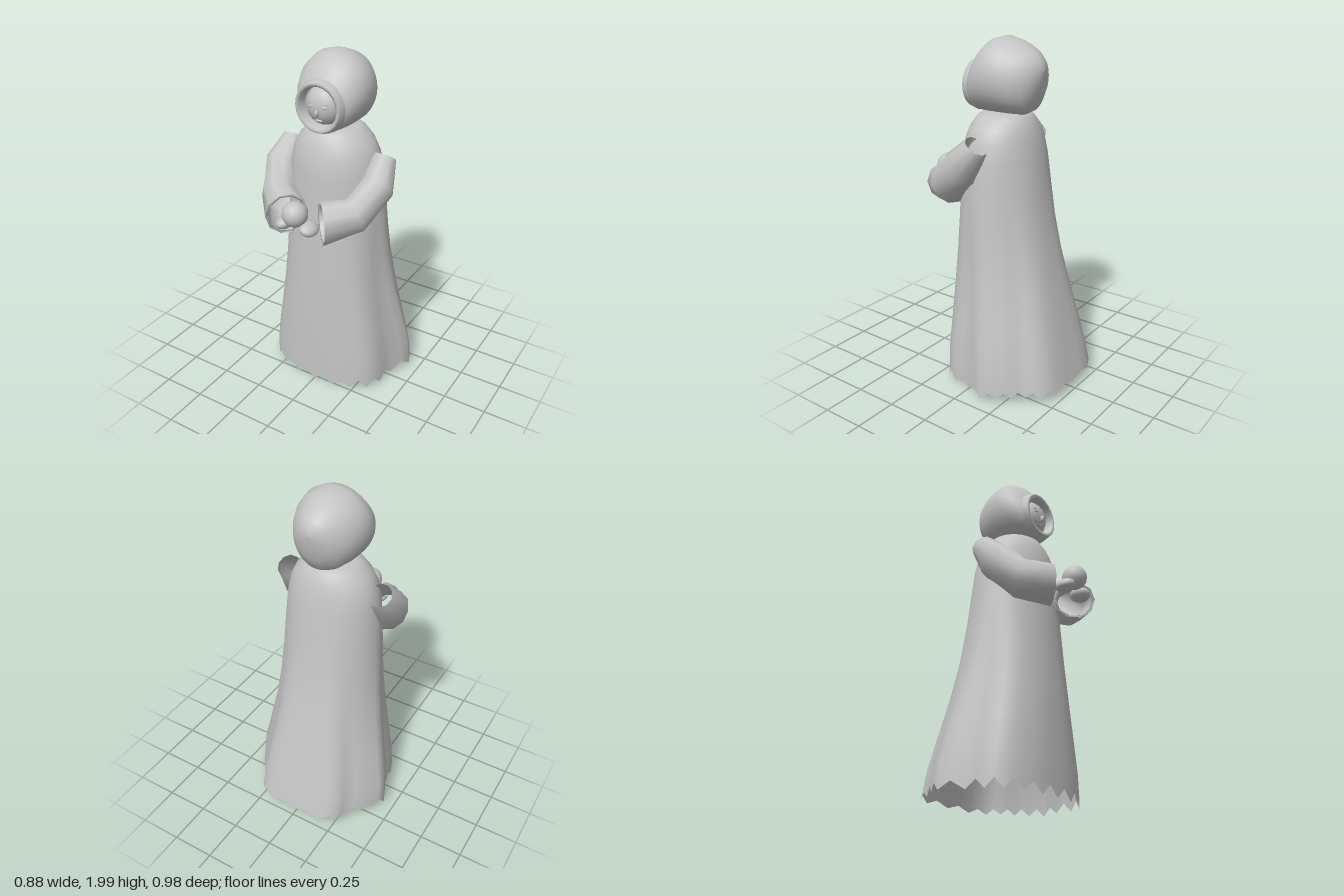
import * as THREE from 'three';

const stone = new THREE.MeshStandardMaterial({ color: 0xc4c4c4, side: THREE.DoubleSide });
stone.name = 'stone grey';

// Skin a surface over closed rings of points
function loft(rings) {
  const n = rings[0].length, pos = [], idx = [];
  rings.forEach(r => r.forEach(p => pos.push(p.x, p.y, p.z)));
  for (let i = 0; i < rings.length - 1; i++) {
    for (let j = 0; j < n; j++) {
      const k = (j + 1) % n, a = i * n + j, b = i * n + k;
      idx.push(a, b, b + n, a, b + n, a + n);
    }
  }
  const g = new THREE.BufferGeometry();
  g.setAttribute('position', new THREE.Float32BufferAttribute(pos, 3));
  g.setIndex(idx);
  g.computeVertexNormals();
  return g;
}

// Ring of n points around centre c, spanned by vectors s and w
function ring(c, s, w, n) {
  return Array.from({ length: n }, (_, j) => {
    const a = j / n * Math.PI * 2;
    return c.clone().addScaledVector(s, Math.cos(a)).addScaledVector(w, Math.sin(a));
  });
}

const V = (x, y, z) => new THREE.Vector3(x, y, z);

function robeGeometry() {
  // Half outline of the hem from front to back, mirrored into a closed curve
  const half = [[0, .27], [.12, .265], [.23, .235], [.32, .185], [.365, .1], [.38, -.01], [.44, -.14],
    [.40, -.22], [.355, -.29], [.30, -.35], [.265, -.43], [.17, -.48], [0, -.485]];
  const unit = half.map(([x, z]) => V(x / .44, 0, z > 0 ? z / .27 : z / .49));
  const mirror = unit.slice(1, -1).reverse().map(p => V(-p.x, 0, p.z));
  const hem = new THREE.CatmullRomCurve3([...unit, ...mirror], true);
  // Rows: height, half width, front depth, back depth, fold strength
  const rows = [[.05, .44, .27, .49, 1], [.2, .43, .27, .46, 1], [.4, .39, .265, .41, .85], [.6, .35, .26, .36, .65],
    [.8, .32, .25, .31, .45], [1, .30, .24, .27, .25], [1.2, .285, .23, .24, .1], [1.35, .27, .225, .22, 0],
    [1.45, .25, .21, .2, 0], [1.52, .215, .185, .18, 0], [1.57, .165, .155, .155, 0], [1.595, .12, .12, .13, 0],
    [1.6, .002, .002, .002, 0]];
  const N = 48;
  return loft(rows.map(([y, hx, zf, zb, fold], i) => Array.from({ length: N }, (_, j) => {
    const a = j / N * Math.PI * 2, h = hem.getPoint(j / N);
    const x = THREE.MathUtils.lerp(Math.sin(a), h.x, fold);
    const z = THREE.MathUtils.lerp(Math.cos(a), h.z, fold);
    // Ragged points along the hem, deeper at the front
    const front = (Math.cos(a) + 1) / 2;
    const tooth = i ? 0 : (j % 2 ? 1 : -1) * (.014 + .015 * front) + .022 * (1 - front) - .008 * front;
    return V(x * hx, y + tooth, z > 0 ? z * zf : z * zb);
  })));
}

function hoodGeometry() {
  // Sections from back to front: z, half width, bottom, top
  const sections = [[-.246, .002, 1.825, 1.829], [-.238, .05, 1.755, 1.875], [-.215, .095, 1.675, 1.905],
    [-.18, .135, 1.61, 1.938], [-.13, .17, 1.585, 1.963], [-.07, .196, 1.582, 1.986], [0, .207, 1.582, 2],
    [.06, .2, 1.582, 1.983], [.11, .18, 1.583, 1.94], [.145, .158, 1.585, 1.895], [.16, .143, 1.588, 1.873]];
  return loft(sections.map(([z, rx, y0, y1]) =>
    ring(V(0, (y0 + y1) / 2, z), V(rx, 0, 0), V(0, (y1 - y0) / 2, 0), 32)));
}

function sleeveGeometry() {
  // Rings from shoulder to cuff: centre, side direction, upward direction, radius
  const stations = [
    [[.285, 1.45, -.015], [1, 0, 0], [0, .6, .8], .068],
    [[.297, 1.315, .085], [.97, .1, .2], [-.05, .75, .65], .105],
    [[.235, 1.185, .215], [.83, 0, .55], [-.1, .93, .35], .107],
    [[.11, 1.155, .34], [.66, 0, .75], [0, 1, 0], .12],
    [[.115, 1.155, .335], [.66, 0, .75], [0, 1, 0], .102],
    [[.20, 1.175, .25], [.76, 0, .65], [-.05, .97, .2], .085]];
  return loft(stations.map(([c, s, w, r]) =>
    ring(V(...c), V(...s).multiplyScalar(r), V(...w).multiplyScalar(r), 10)));
}

export function createModel() {
  const model = new THREE.Group();
  model.name = 'robedFigure';
  const add = (name, geometry, x = 0, y = 0, z = 0) => {
    const m = new THREE.Mesh(geometry, stone);
    m.name = name;
    m.position.set(x, y, z);
    model.add(m);
    return m;
  };
  const blob = (name, p, s, tilt = 0) => {
    const m = add(name, new THREE.SphereGeometry(1, 16, 12), ...p);
    m.scale.set(...s);
    m.rotation.z = tilt;
    return m;
  };

  // Robe and hood
  add('robe', robeGeometry());
  add('hood', hoodGeometry());

  // Raised rim around the face opening
  const profile = [[.143, .13], [.147, .16], [.136, .197], [.128, .202], [.114, .196], [.106, .15]];
  const rim = new THREE.LatheGeometry(profile.map(([r, z]) => new THREE.Vector2(r, z)), 20);
  add('hoodRim', rim, 0, 1.73, 0).rotation.x = Math.PI / 2;

  // Face
  blob('face', [0, 1.73, .12], [.106, .108, .082]);
  blob('nose', [0, 1.703, .2], [.01, .02, .018]);
  blob('mouth', [0, 1.66, .184], [.024, .006, .008]);
  const sleeve = sleeveGeometry();
  for (const s of [1, -1]) {
    const side = s > 0 ? 'left' : 'right';
    blob(side + 'Eye', [s * .038, 1.737, .192], [.017, .007, .009]);
    blob(side + 'Brow', [s * .038, 1.757, .188], [.022, .004, .006], s * -.15);

    // Sleeve and hand
    add(side + 'Sleeve', sleeve).scale.x = s;
    blob(side + 'Hand', [s * .075, 1.147, .403], [.05, .034, .062], s * -.35);
  }

  // Ball held between the hands
  blob('heldBall', [0, 1.22, .42], [.07, .07, .07]);
  return model;
}
